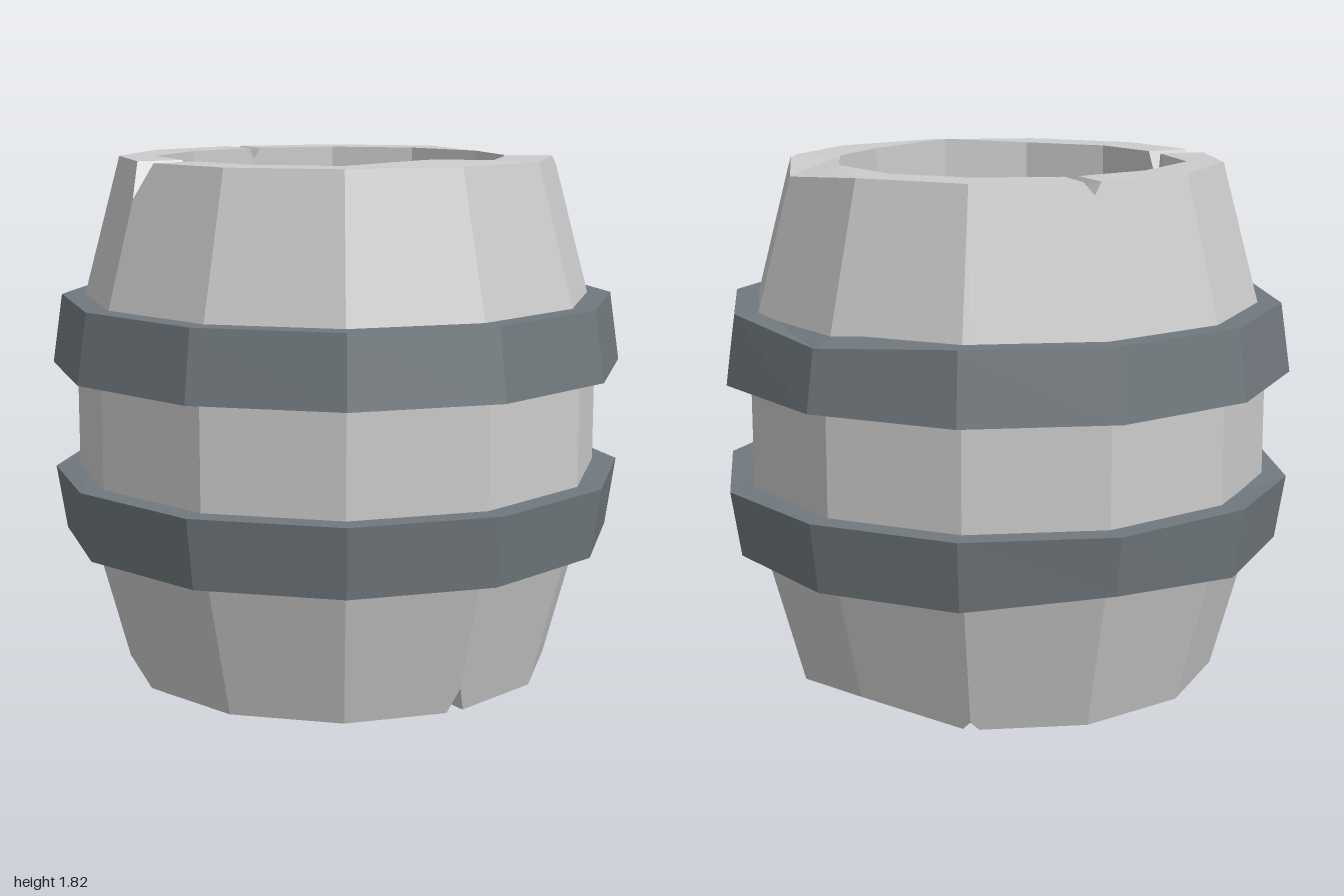
import * as THREE from 'three';

const SIDES = 12, STEP = 360 / SIDES;
const SLOPE = 0.27; // how fast the staves widen away from each rim

// Skins a ring of columns (each a list of [radius, y]) into a faceted closed surface.
function loft(columns, closedProfile, color) {
  const pos = [];
  const point = (c, j) => {
    const a = THREE.MathUtils.degToRad(c.deg);
    const [r, y] = c.profile[j % c.profile.length];
    return [r * c.scale * Math.cos(a), y, r * c.scale * Math.sin(a)];
  };
  columns.forEach((c, i) => {
    const d = columns[(i + 1) % columns.length];
    const count = c.profile.length - (closedProfile ? 0 : 1);
    for (let j = 0; j < count; j++) {
      const p = point(c, j), q = point(c, j + 1), s = point(d, j + 1), t = point(d, j);
      if (c.profile[(j + 1) % c.profile.length][0] > 0) pos.push(...p, ...q, ...s);
      else pos.push(...p, ...q, ...t);
      if (c.profile[j][0] > 0 && c.profile[(j + 1) % c.profile.length][0] > 0) pos.push(...p, ...s, ...t);
    }
  });
  const geo = new THREE.BufferGeometry();
  geo.setAttribute('position', new THREE.Float32BufferAttribute(pos, 3));
  geo.computeVertexNormals();
  return new THREE.Mesh(geo, new THREE.MeshStandardMaterial({ color, flatShading: true }));
}

// V-shaped notches cut across the rims: vertex angle -> half width and depth
const topNotches = { 30: [0.033, 0.035], 180: [0.055, 0.12], 270: [0.028, 0.04] };
const bottomNotches = { 90: [0.03, 0.09], 300: [0.025, 0.03] };

function makeBody() {
  const columns = [];
  const addColumn = (deg, offset, topCut, bottomCut) => {
    // chipped corners
    const topChip = deg === 0 ? 0.03 : topCut;
    const bottomChip = deg === 330 ? 0.06 : bottomCut;
    const raised = deg === 90 ? 0.015 : 0;
    const innerR = deg === 210 ? 0.63 : 0.59;
    const rad = THREE.MathUtils.degToRad;
    columns.push({
      deg: deg + offset,
      scale: Math.cos(rad(STEP / 2)) / Math.cos(rad(STEP / 2 - Math.abs(offset))),
      profile: [
        [0, 0.13], [0.59, 0.13], [0.59, bottomCut],
        [0.75 + SLOPE * bottomChip, bottomChip],
        [0.915, 0.61], [0.915, 1.2],
        [0.755 + SLOPE * topChip, 1.8 - topChip],
        [innerR, 1.8 - topCut + raised], [0.59, 1.67], [0, 1.67],
      ],
    });
  };
  for (let deg = 0; deg < 360; deg += STEP) {
    const top = topNotches[deg], bottom = bottomNotches[deg];
    const notch = top || bottom;
    if (!notch) { addColumn(deg, 0, 0, 0); continue; }
    const w = THREE.MathUtils.radToDeg(notch[0] / 0.68);
    addColumn(deg, -w, 0, 0);
    addColumn(deg, 0, top ? top[1] : 0, bottom ? bottom[1] : 0);
    addColumn(deg, w, 0, 0);
  }
  return loft(columns, false, 0xcccccc);
}

// Tapered hoop; dents shift single corners: angle -> [bottom lift, top drop]
function makeHoop(y0, r0, y1, r1, dents) {
  const columns = [];
  for (let deg = 0; deg < 360; deg += STEP) {
    const [lift, drop] = dents[deg] || [0, 0];
    columns.push({
      deg, scale: 1,
      profile: [[0.86, y0], [r0, y0 + lift], [r1, y1 - drop], [0.86, y1]],
    });
  }
  return loft(columns, true, 0x71797e);
}

export function createModel() {
  const group = new THREE.Group();
  group.name = 'barrel';

  const body = makeBody();
  body.name = 'body';

  const upperHoop = makeHoop(1.08, 1.0, 1.32, 0.965, { 330: [0, 0.035] });
  upperHoop.name = 'upperHoop';

  const lowerHoop = makeHoop(0.48, 0.965, 0.72, 1.0, { 0: [0, 0.012], 210: [0, 0.015], 270: [0.035, 0] });
  lowerHoop.name = 'lowerHoop';

  group.add(body, upperHoop, lowerHoop);
  return group;
}
